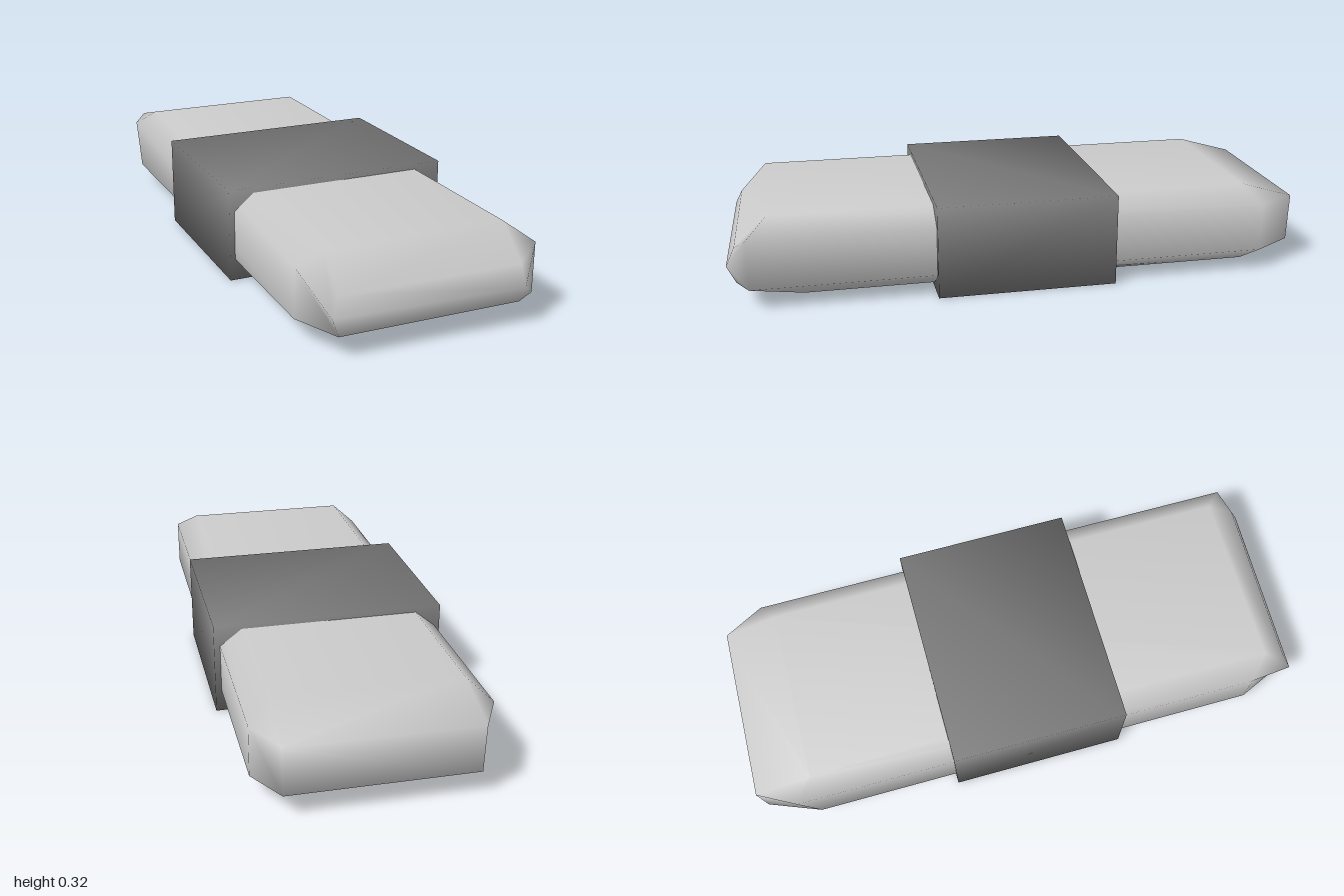
import * as THREE from 'three';
import { mergeVertices } from 'three/addons/utils/BufferGeometryUtils.js';

// Closed, smooth-shaded solid lofted through rings of [x, y, z] points, back to front.
function loft(rings) {
  const n = rings[0].length, index = [];
  for (let r = 0; r < rings.length - 1; r++) {
    for (let i = 0; i < n; i++) {
      const j = (i + 1) % n;
      const a = r * n + i, b = r * n + j, c = b + n, d = a + n;
      index.push(a, b, c, a, c, d);
    }
  }
  // End caps, fanned from point 1 so the front ridge runs straight across
  const last = (rings.length - 1) * n;
  for (let k = 1; k < n - 1; k++) {
    const i = (1 + k) % n, j = (2 + k) % n;
    index.push(last + 1, last + i, last + j, 1, j, i);
  }
  const geometry = new THREE.BufferGeometry();
  geometry.setAttribute('position', new THREE.Float32BufferAttribute(rings.flat(2), 3));
  geometry.setIndex(index);
  const merged = mergeVertices(geometry);
  merged.computeVertexNormals();
  return merged;
}

export function createModel() {
  const group = new THREE.Group();
  group.name = 'eraser';

  // Rubber block: chamfered section with slightly worn, uneven ends
  const section = [
    [0.375, 0.075], [0.375, 0.245], [0.30, 0.302], [-0.31, 0.302],
    [-0.38, 0.245], [-0.38, 0.075], [-0.31, 0.02], [0.30, 0.02],
  ];
  const ringAt = (zs) => section.map(([x, y], i) => [x, y, zs[i]]);
  const backTip = [
    [0.30, 0.08, -0.985], [0.30, 0.245, -0.99], [0.30, 0.245, -0.99], [-0.31, 0.245, -1],
    [-0.31, 0.245, -1], [-0.31, 0.08, -0.99], [-0.31, 0.08, -0.99], [0.30, 0.08, -0.985],
  ];
  const frontTip = [
    [0.30, 0.075, 0.97], [0.30, 0.135, 1], [0.30, 0.20, 0.97], [-0.31, 0.20, 0.955],
    [-0.34, 0.145, 0.98], [-0.31, 0.075, 0.96], [-0.31, 0.075, 0.96], [0.30, 0.075, 0.97],
  ];
  const block = new THREE.Mesh(
    loft([
      backTip,
      ringAt([-0.85, -0.85, -0.80, -0.80, -0.87, -0.81, -0.81, -0.81]),
      ringAt([0.93, 0.93, 0.86, 0.86, 0.80, 0.80, 0.75, 0.75]),
      frontTip,
    ]),
    new THREE.MeshStandardMaterial({ color: 0xcccccc }),
  );
  block.name = 'rubberBlock';
  group.add(block);

  // Sleeve wrapped around the middle, with normals shared at its corners
  const box = new THREE.BoxGeometry(0.794, 0.32, 0.62);
  box.deleteAttribute('normal');
  box.deleteAttribute('uv');
  const sleeveGeometry = mergeVertices(box);
  sleeveGeometry.computeVertexNormals();
  const sleeve = new THREE.Mesh(sleeveGeometry, new THREE.MeshStandardMaterial({ color: 0x777777 }));
  sleeve.name = 'sleeve';
  sleeve.position.set(-0.001, 0.16, 0);
  group.add(sleeve);

  return group;
}
